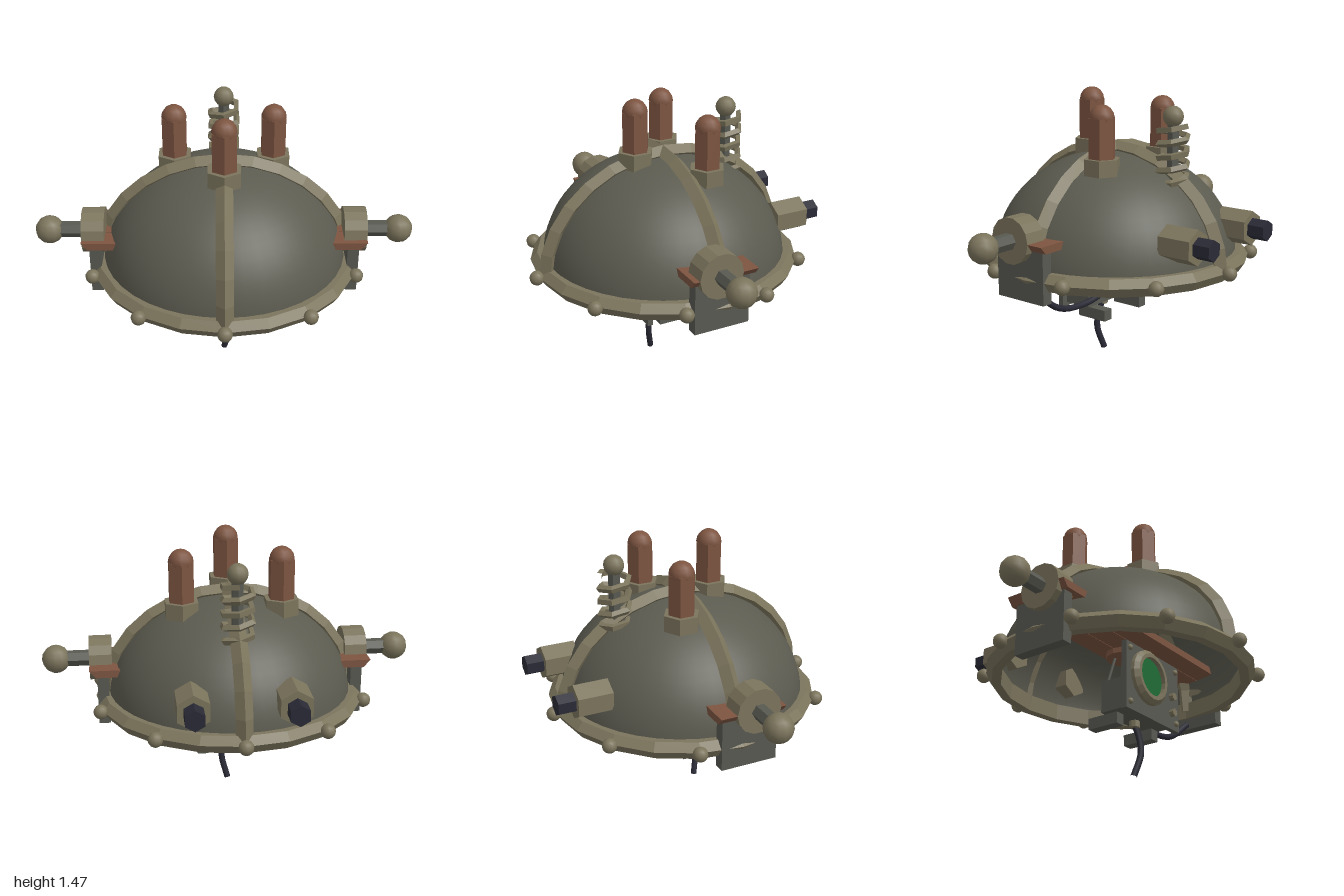
import * as THREE from 'three';

const mat = (name, color, side = THREE.FrontSide) => {
  const m = new THREE.MeshStandardMaterial({ color, side });
  m.name = name;
  return m;
};

// Faceted normals for the low-poly parts
function flat(g) {
  const f = g.index ? g.toNonIndexed() : g;
  f.computeVertexNormals();
  return f;
}
const prism = (r, h, n = 6) => flat(new THREE.CylinderGeometry(r, r, h, n));
const ball = (r) => new THREE.SphereGeometry(r, 12, 8);

// Polygonal coil centre line
class Helix extends THREE.Curve {
  constructor(r, h, turns) {
    super();
    Object.assign(this, { r, h, turns });
  }
  getPoint(t, target = new THREE.Vector3()) {
    const a = t * this.turns * Math.PI * 2;
    return target.set(Math.sin(a) * this.r, t * this.h, Math.cos(a) * this.r);
  }
}

export function createModel() {
  const shell = mat('dome olive grey', 0x5b5b50, THREE.DoubleSide);
  const trim = mat('trim olive', 0x7b745c);
  const rust = mat('rust brown', 0x7d5541);
  const steel = mat('dark steel', 0x585951);
  const black = mat('rubber black', 0x2a2a36);
  const green = mat('screen green', 0x1f6a34);

  const model = new THREE.Group();
  const add = (name, geo, material, x = 0, y = 0, z = 0, parent = model) => {
    const m = new THREE.Mesh(geo, material);
    m.name = name;
    m.position.set(x, y, z);
    parent.add(m);
    return m;
  };
  const box = (name, w, h, d, material, x, y, z) =>
    add(name, new THREE.BoxGeometry(w, h, d), material, x, y, z);
  const cable = (name, pts, r) => {
    const curve = new THREE.CatmullRomCurve3(pts.map((p) => new THREE.Vector3(...p)));
    return add(name, new THREE.TubeGeometry(curve, 16, r, 8), black);
  };
  const CZ = 0.01; // dome centre in z

  // Open dome
  const dome = new THREE.SphereGeometry(0.655, 40, 16, 0, Math.PI * 2, 0, Math.PI / 2);
  add('dome', dome, shell, 0, 0.56, CZ).scale.y = 0.89;

  // Crossing ribs with a ridged section
  for (const [name, r, turn] of [['sideRib', 0.655, 0], ['lengthRib', 0.677, Math.PI / 2]]) {
    const geo = new THREE.TorusGeometry(r, 0.044, 4, 14, Math.PI);
    geo.scale(1, 0.62 / (r + 0.044), 1);
    add(name, flat(geo), trim, 0, 0.575, CZ).rotation.y = turn;
  }

  // Rim and its bolts
  const rim = [[0.64, 0.535], [0.69, 0.535], [0.722, 0.585], [0.685, 0.625], [0.635, 0.625], [0.64, 0.535]];
  add('rim', flat(new THREE.LatheGeometry(rim.map((p) => new THREE.Vector2(...p)), 20)), trim, 0, 0, CZ);
  for (let i = 0; i < 10; i++) {
    const a = (i / 10) * Math.PI * 2;
    add('rimBolt', ball(0.039), trim, Math.sin(a) * 0.733, 0.585, CZ + Math.cos(a) * 0.733);
  }

  // Plank deck running through the dome
  const deck = new THREE.Shape([[-0.715, 0.74], [0.715, 0.74], [0.75, 0.78], [-0.75, 0.78]]
    .map((p) => new THREE.Vector2(...p)));
  for (let i = 0; i < 3; i++) {
    add('deckPlank', new THREE.ExtrudeGeometry(deck, { depth: 0.117, bevelEnabled: false }),
      rust, 0, 0, -0.132 + i * 0.12);
  }

  // Side arms with ball ends, and rear barrels
  for (const s of [1, -1]) {
    const arm = new THREE.Group();
    arm.name = s > 0 ? 'leftArm' : 'rightArm';
    arm.position.set(0, 0.78, 0.075);
    model.add(arm);
    add('armDisc', prism(0.12, 0.12, 14), trim, s * 0.69, 0, 0, arm).rotation.z = Math.PI / 2;
    add('armRod', prism(0.043, 0.26), steel, s * 0.79, 0, 0, arm).rotation.z = Math.PI / 2;
    add('armBall', ball(0.076), trim, s * 0.928, 0, 0, arm);
    box('armBracket', 0.06, 0.27, 0.305, steel, s * 0.68, 0.605, 0.047);

    add('rearSocket', prism(0.092, 0.185), trim, s * 0.25, 0.768, -0.605).rotation.x = Math.PI / 2;
    add('rearBarrel', prism(0.055, 0.11), black, s * 0.25, 0.768, -0.735).rotation.x = Math.PI / 2;
  }

  // Chimneys
  for (const [x, y, z] of [[0, 1.19, 0.17], [0.26, 1.14, -0.11], [-0.26, 1.14, -0.11]]) {
    add('chimneyBase', prism(0.097, 0.085), trim, x, y - 0.04, z);
    add('chimney', prism(0.072, 0.22), rust, x, y + 0.1, z);
    add('chimneyCap', ball(0.066), rust, x, y + 0.21, z);
  }

  // Spring antenna
  add('antennaRod', prism(0.032, 0.38), steel, 0, 1.17, -0.365);
  add('antennaBall', ball(0.054), trim, 0, 1.35, -0.365);
  const coil = new THREE.TubeGeometry(new Helix(0.08, 0.31, 4.5), 27, 0.019, 4);
  add('antennaCoil', flat(coil), trim, 0, 0.995, -0.365);

  // Hanging control box
  box('controlPanel', 0.47, 0.37, 0.03, steel, 0, 0.465, 0.205);
  box('controlBody', 0.4, 0.17, 0.155, steel, 0, 0.385, 0.113);
  box('controlTower', 0.14, 0.2, 0.15, steel, 0.13, 0.55, 0.115);
  for (const s of [1, -1]) {
    box('controlFoot', 0.058, 0.06, 0.18, steel, s * 0.152, 0.265, 0.03);
    for (const y of [0.32, 0.615]) add('panelBolt', ball(0.016), trim, s * 0.205, y, 0.222);
  }

  // Round screen, bezel and buttons
  const bezel = [[0.105, 0], [0.147, 0], [0.147, 0.02], [0.125, 0.04], [0.105, 0.04], [0.105, 0]];
  add('screenBezel', flat(new THREE.LatheGeometry(bezel.map((p) => new THREE.Vector2(...p)), 20)),
    trim, -0.05, 0.495, 0.22).rotation.x = Math.PI / 2;
  add('screen', new THREE.CircleGeometry(0.108, 24), green, -0.05, 0.495, 0.236);
  for (const y of [0.46, 0.37]) {
    add('panelButton', prism(0.021, 0.03, 8), trim, 0.165, y, 0.23).rotation.x = Math.PI / 2;
  }

  // Stool inside the dome
  add('stoolSeat', prism(0.095, 0.03, 12), rust, 0, 0.69, 0.03);
  for (let i = 0; i < 4; i++) {
    const a = Math.PI / 4 + (i * Math.PI) / 2;
    const at = (r, y) => new THREE.Vector3(Math.sin(a) * r, y, 0.03 + Math.cos(a) * r);
    const leg = new THREE.LineCurve3(at(0.045, 0.68), at(0.1, 0.475));
    add('stoolLeg', new THREE.TubeGeometry(leg, 1, 0.008, 6), steel);
  }

  // Loose cables
  add('cableCollar', prism(0.028, 0.05, 8), trim, 0, 0.29, 0.1);
  cable('hangingCable', [[0, 0.3, 0.09], [0.022, 0.23, 0.108], [0.03, 0.13, 0.117], [0, 0.004, 0.092]], 0.017);
  cable('sideCable', [[0, 0.42, 0.035], [0.12, 0.36, 0.02], [0.3, 0.34, 0.018], [0.46, 0.37, 0.018], [0.63, 0.49, 0.018]], 0.017);

  return model;
}
